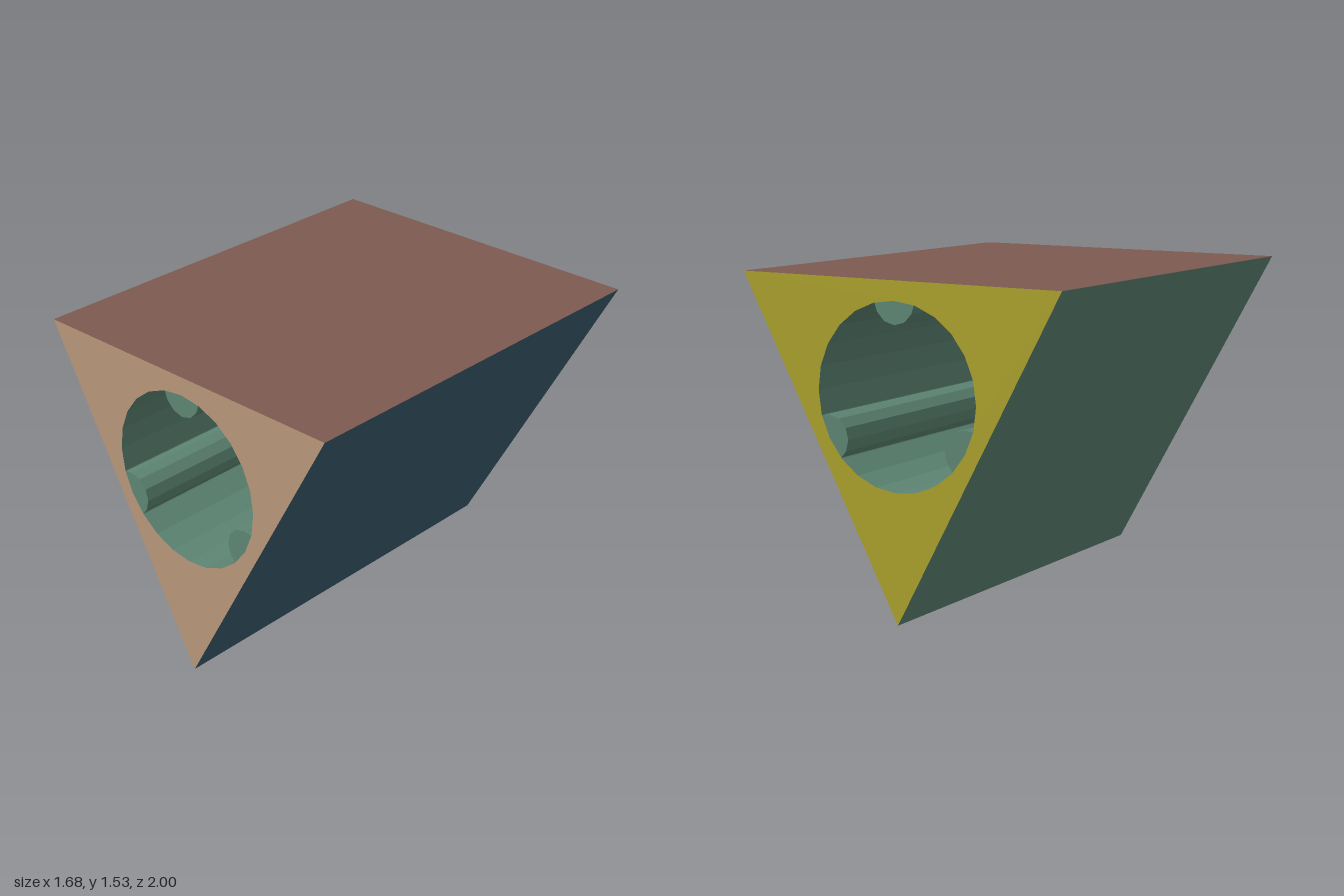
import * as THREE from 'three';

const W = 0.84, H = 1.527, L = 2;            // prism half width, height, length
const CY = 1.018, R = 0.421, SIDES = 24;     // bore centre height, radius, sides
const ROD = 0.105;                           // radius of the rods on the bore wall

const mat = (color, side = THREE.FrontSide) =>
  new THREE.MeshStandardMaterial({ color, side, flatShading: true });

function add(group, name, geometry, material) {
  const mesh = new THREE.Mesh(geometry, material);
  mesh.name = name;
  group.add(mesh);
  return mesh;
}

const polar = (r, a, cx = 0, cy = CY) =>
  new THREE.Vector2(cx + r * Math.cos(a), cy + r * Math.sin(a));

// Flat panel running the full length between two corners of the cross-section
function sidePanel(a, b) {
  const g = new THREE.PlaneGeometry(L, a.distanceTo(b));
  g.rotateY(Math.PI / 2);                    // faces +x, length along z
  g.rotateZ(Math.atan2(b.y - a.y, b.x - a.x) - Math.PI / 2);
  g.translate((a.x + b.x) / 2, (a.y + b.y) / 2, 0);
  return g;
}

// Cross-section of a rod: its part inside the bore, closed along the bore wall
function rodShape(angle) {
  const step = (2 * Math.PI) / SIDES;
  const c = polar(R, angle);
  const start = c.clone().lerp(polar(R, angle - step), 0.96);
  const end = c.clone().lerp(polar(R, angle + step), 0.96);
  const pts = [start, c, end];
  for (let i = -2; i <= 2; i++) {
    pts.push(polar(ROD, angle + Math.PI + i * Math.PI / 6, c.x, c.y));
  }
  return new THREE.Shape(pts);
}

export function createModel() {
  const model = new THREE.Group();
  model.name = 'boredPrism';
  const teal = mat(0x5d8573);

  // Triangular end faces with the round opening
  const corners = [new THREE.Vector2(0, 0), new THREE.Vector2(W, H), new THREE.Vector2(-W, H)];
  const end = new THREE.Shape(corners);
  const hole = [];
  for (let i = 0; i < SIDES; i++) hole.push(polar(R, -i * 2 * Math.PI / SIDES));
  end.holes.push(new THREE.Path(hole));
  add(model, 'frontFace', new THREE.ShapeGeometry(end).translate(0, 0, L / 2), mat(0xb8967a));
  add(model, 'backFace', new THREE.ShapeGeometry(end).rotateY(Math.PI).translate(0, 0, -L / 2), mat(0xaaa02c));

  // Outer panels
  const panels = [['leftPanel', 0x3b5d6f], ['topPanel', 0x7d5a50], ['rightPanel', 0x5d8573]];
  panels.forEach(([name, color], i) =>
    add(model, name, sidePanel(corners[i], corners[(i + 1) % 3]), mat(color)));

  // Wall of the bore
  const wall = new THREE.CylinderGeometry(R, R, L, SIDES, 1, true);
  wall.rotateX(Math.PI / 2).translate(0, CY, 0);
  add(model, 'boreWall', wall, mat(0x5d8573, THREE.DoubleSide));

  // Three rods spaced evenly around the bore
  for (let i = 0; i < 3; i++) {
    const g = new THREE.ExtrudeGeometry(rodShape(Math.PI / 2 + i * 2 * Math.PI / 3),
      { depth: L, bevelEnabled: false });
    add(model, 'rod' + (i + 1), g.translate(0, 0, -L / 2), teal);
  }
  return model;
}
